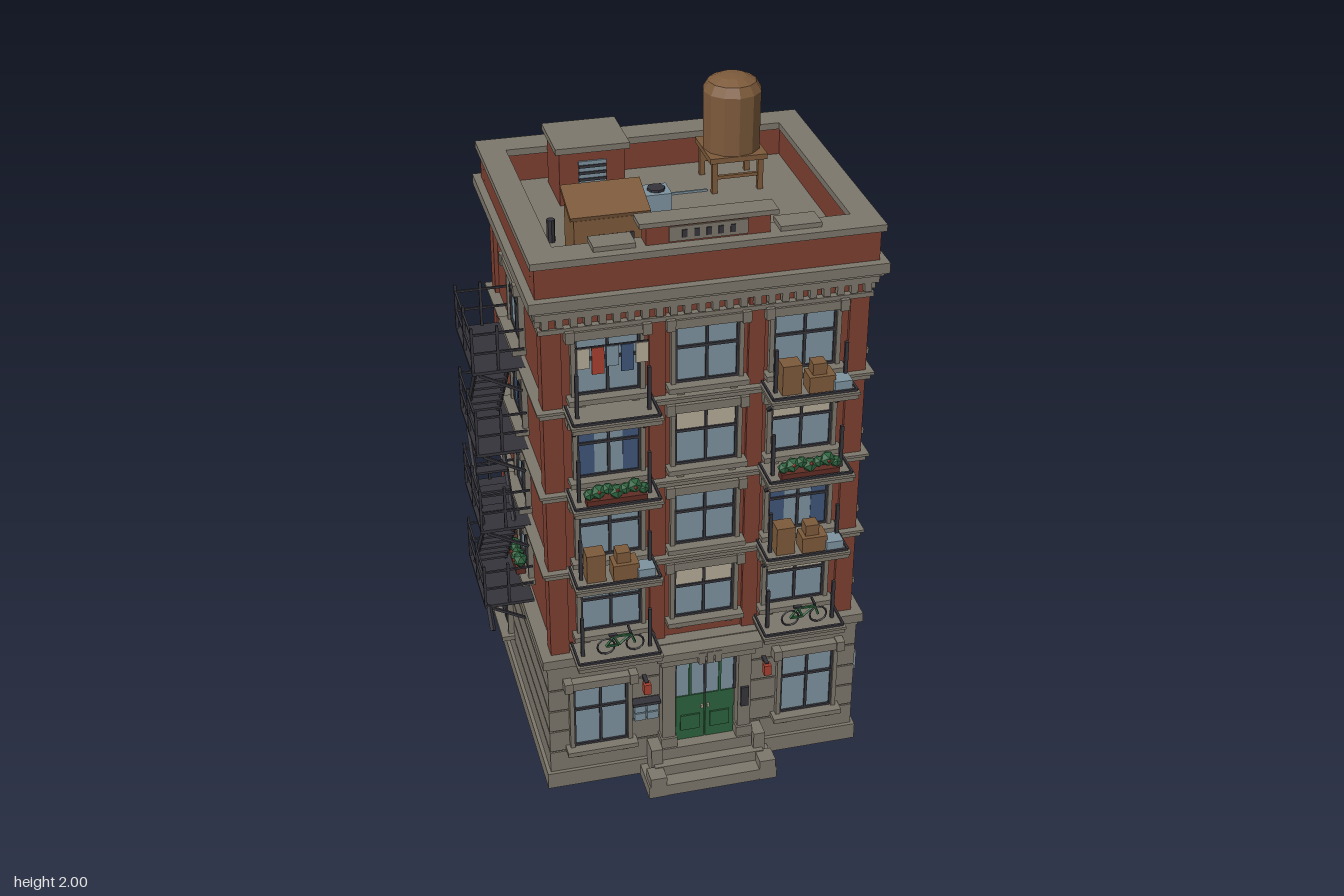
import * as THREE from 'three';

const mat = (name, color) => {
  const m = new THREE.MeshStandardMaterial({ color, flatShading: true });
  m.name = name;
  return m;
};
const M = {
  brick: mat('brick', 0x7e4032), dark: mat('darkBrick', 0x5f2d24), stone: mat('stone', 0x7d776b),
  metal: mat('darkMetal', 0x35343b), glass: mat('paleBlue', 0x7d939f), wood: mat('wood', 0x7d5a3b),
  green: mat('green', 0x2d623e), cream: mat('cream', 0xb5ab98), blue: mat('blue', 0x3f5679), red: mat('red', 0xa8402f),
};
const HX = 0.46, HZ = 0.383, BX = 0.478, BZ = 0.4;      // brick and base half sizes
const FLOORS = [0.645, 0.905, 1.175, 1.44];              // window centres
const SLABS = [0.505, 0.775, 1.038, 1.307];              // floor lines
const COLS = [-0.278, 0, 0.278];

function mesh(p, name, geo, m, x = 0, y = 0, z = 0) {
  const o = new THREE.Mesh(geo, m);
  o.name = name;
  o.position.set(x, y, z);
  p.add(o);
  return o;
}
const box = (p, name, m, w, h, d, x, y, z) => mesh(p, name, new THREE.BoxGeometry(w, h, d), m, x, y, z);
const cyl = (p, name, m, r, h, x, y, z, n = 8) => mesh(p, name, new THREE.CylinderGeometry(r, r, h, n), m, x, y, z);
// full-width layer between two heights
const layer = (p, name, m, hx, hz, y0, y1) => box(p, name, m, hx * 2, y1 - y0, hz * 2, 0, (y0 + y1) / 2, 0);
function bar(p, name, m, a, b, t = 0.008) {
  const A = new THREE.Vector3(...a), B = new THREE.Vector3(...b);
  const o = box(p, name, m, t, t, A.distanceTo(B), 0, 0, 0);
  o.position.copy(A).add(B).multiplyScalar(0.5);
  o.quaternion.setFromUnitVectors(new THREE.Vector3(0, 0, 1), B.sub(A).normalize());
}
function sub(p, name, x = 0, y = 0, z = 0, ry = 0) {
  const g = new THREE.Group();
  g.name = name;
  g.position.set(x, y, z);
  g.rotation.y = ry;
  p.add(g);
  return g;
}

// style: '' plain, 'b' blind, 'd' drapes
function windowUnit(p, x, y, z, w, h, style = '') {
  const g = sub(p, 'window', x, y, z);
  box(g, 'glass', M.glass, w, h, 0.006, 0, 0, 0.001);
  if (style === 'b') box(g, 'blind', M.cream, w, h * 0.36, 0.004, 0, h * 0.32, 0.004);
  if (style === 'd') for (const s of [-1, 1]) box(g, 'drape', M.blue, w * 0.27, h, 0.004, s * w * 0.36, 0, 0.004);
  for (const s of [-1, 1]) {
    box(g, 'jamb', M.stone, 0.013, h, 0.022, s * (w / 2 + 0.006), 0, 0.006);
    box(g, 'frameSide', M.metal, 0.007, h, 0.012, s * (w / 2 - 0.003), 0, 0.004);
    box(g, 'frameEdge', M.metal, w, 0.007, 0.012, 0, s * (h / 2 - 0.003), 0.004);
    box(g, 'sillBracket', M.stone, 0.02, 0.02, 0.02, s * w * 0.42, -h / 2 - 0.026, 0.01);
    box(g, 'lintelEnd', M.stone, 0.025, 0.034, 0.036, s * (w / 2 + 0.016), h / 2 + 0.014, 0.014);
  }
  box(g, 'mullion', M.metal, 0.008, h, 0.012, 0, 0, 0.004);
  box(g, 'transom', M.metal, w, 0.008, 0.014, 0, h * 0.12, 0.004);
  box(g, 'lintel', M.stone, w + 0.03, 0.026, 0.03, 0, h / 2 + 0.014, 0.012);
  box(g, 'sill', M.stone, w + 0.05, 0.016, 0.045, 0, -h / 2 - 0.009, 0.018);
}
function plants(p, x, y, z, w, n) {
  const g = sub(p, 'planter', x, y, z);
  box(g, 'planterBox', M.dark, w, 0.022, 0.03, 0, 0.011, 0);
  for (let i = 0; i < n; i++) {
    const u = (i / (n - 1) - 0.5) * w * 0.9, r = 0.018 + 0.005 * (i % 2);
    mesh(g, 'leaves', new THREE.IcosahedronGeometry(r, 0), M.green, u, 0.036 + 0.006 * (i % 3), 0);
    if (i % 2) mesh(g, 'flower', new THREE.IcosahedronGeometry(0.006, 0), M.red, u, 0.05, 0.018);
  }
}
function airUnit(p, x, y, z, w = 0.092, h = 0.066, d = 0.062) {
  const g = sub(p, 'airConditioner', x, y, z);
  box(g, 'case', M.glass, w, h, d, 0, 0, d / 2);
  cyl(g, 'fan', M.metal, h * 0.38, 0.006, -w * 0.14, 0, d + 0.002, 10).rotation.x = Math.PI / 2;
  for (let i = 0; i < 3; i++) box(g, 'slot', M.metal, w * 0.2, 0.005, 0.004, w * 0.34, (i - 1) * 0.015, d);
  for (const s of [-1, 1]) bar(g, 'bracket', M.metal, [s * w * 0.35, -h / 2 - 0.03, 0], [s * w * 0.35, -h / 2, d]);
}
function bike(p, x, y, z) {
  const g = sub(p, 'bicycle', x, y, z);
  for (const s of [-1, 1]) mesh(g, 'wheel', new THREE.TorusGeometry(0.026, 0.003, 4, 12), M.metal, s * 0.043, 0.029, 0);
  const P = [[-0.043, 0.029], [-0.02, 0.06], [0.03, 0.06], [-0.005, 0.029], [0.043, 0.029], [0.027, 0.075]];
  for (const [a, b] of [[0, 1], [1, 2], [1, 3], [2, 3], [0, 3], [4, 5]]) bar(g, 'bikeFrame', M.green, [...P[a], 0], [...P[b], 0], 0.006);
  box(g, 'saddle', M.metal, 0.024, 0.006, 0.012, -0.022, 0.066, 0);
  box(g, 'handlebar', M.metal, 0.006, 0.006, 0.035, 0.027, 0.077, 0);
}
function balcony(p, x, i, side) {
  const y = SLABS[i], g = sub(p, 'balcony', x, y, HZ);
  box(g, 'slab', M.stone, 0.247, 0.018, 0.115, 0, 0, 0.057);
  box(g, 'slabLip', M.stone, 0.255, 0.008, 0.12, 0, 0.009, 0.058);
  bar(g, 'lowRail', M.metal, [-0.12, 0.018, 0.108], [0.12, 0.018, 0.108], 0.007);
  for (const s of [-1, 1]) {
    box(g, 'post', M.metal, 0.01, 0.14, 0.01, s * 0.1, 0.075, 0.06);
    bar(g, 'sideRail', M.metal, [s * 0.12, 0.018, 0], [s * 0.12, 0.018, 0.108], 0.006);
    bar(g, 'bracket', M.metal, [s * 0.1, -0.075, 0.004], [s * 0.1, -0.008, 0.085], 0.01);
  }
  if (i === 0) bike(g, 0.01, 0.012, 0.07);
  if (i === 2) plants(g, 0, 0.012, 0.085, 0.17, 7);
  if (i === 1 || (i === 3 && side > 0)) {
    box(g, 'crate', M.wood, 0.055, 0.09, 0.05, -0.06, 0.058, 0.06);
    box(g, 'crateLow', M.wood, 0.075, 0.05, 0.055, 0.025, 0.038, 0.065);
    box(g, 'crateSmall', M.wood, 0.04, 0.035, 0.04, 0.02, 0.08, 0.06);
    box(g, 'cooler', M.glass, 0.05, 0.035, 0.05, 0.082, 0.03, 0.08);
  }
  if (i === 3 && side < 0) {
    bar(g, 'washLine', M.metal, [-0.1, 0.225, 0.06], [0.1, 0.225, 0.06], 0.004);
    [M.cream, M.red, M.glass, M.blue, M.cream].forEach((m, k) =>
      box(g, 'laundry', m, 0.034, 0.06 + 0.02 * (k % 2), 0.005, -0.08 + k * 0.04, 0.192 - 0.01 * (k % 2), 0.06));
  }
}

function shell(b) {
  layer(b, 'plinth', M.stone, BX + 0.008, BZ + 0.008, 0.005, 0.06);
  layer(b, 'baseCore', M.stone, BX - 0.008, BZ - 0.008, 0.05, 0.45);
  for (let i = 0; i < 5; i++) layer(b, 'baseCourse', M.stone, BX - 0.003, BZ - 0.003, 0.06 + i * 0.077, 0.06 + i * 0.077 + 0.072);
  layer(b, 'baseCap', M.stone, BX, BZ, 0.44, 0.458);
  layer(b, 'baseCornice', M.stone, BX + 0.012, BZ + 0.012, 0.458, 0.488);
  layer(b, 'brickWall', M.brick, HX - 0.012, HZ - 0.012, 0.48, 1.62);
  for (const sx of [-1, 1]) for (const sz of [-1, 1]) box(b, 'cornerPier', M.brick, 0.055, 1.13, 0.055, sx * (HX - 0.0275), 1.05, sz * (HZ - 0.0275));
  for (const s of [-1, 1]) for (const x of [-0.14, 0.14]) box(b, 'pier', M.brick, 0.046, 1.13, 0.03, x, 1.05, s * (HZ - 0.015));
  for (const y of SLABS.slice(1)) {
    layer(b, 'floorBand', M.stone, HX + 0.012, HZ + 0.012, y - 0.012, y + 0.004);
    layer(b, 'floorBandCap', M.stone, HX + 0.02, HZ + 0.02, y + 0.004, y + 0.012);
  }
  layer(b, 'frieze', M.stone, HX + 0.008, HZ + 0.008, 1.553, 1.567);
  layer(b, 'corniceLow', M.stone, HX + 0.018, HZ + 0.018, 1.6, 1.625);
  layer(b, 'corniceMid', M.stone, HX + 0.026, HZ + 0.03, 1.625, 1.637);
  layer(b, 'corniceTop', M.stone, HX + 0.037, HZ + 0.043, 1.637, 1.668);
  for (const s of [-1, 1]) {
    for (let i = 0; i < 24; i++) box(b, 'dentil', M.stone, 0.02, 0.028, 0.02, -0.449 + i * 0.039, 1.587, s * (HZ + 0.005));
    for (let i = 0; i < 20; i++) box(b, 'dentil', M.stone, 0.02, 0.028, 0.02, s * (HX + 0.005), 1.587, -0.371 + i * 0.039);
  }
  // parapet walls and coping around the sunken roof
  for (const s of [-1, 1]) {
    box(b, 'parapet', M.brick, 0.95, 0.1, 0.055, 0, 1.715, s * 0.373);
    box(b, 'parapet', M.brick, 0.055, 0.1, 0.69, s * 0.4475, 1.715, 0);
    box(b, 'coping', M.stone, 0.974, 0.02, 0.088, 0, 1.767, s * 0.368);
    box(b, 'coping', M.stone, 0.076, 0.02, 0.66, s * 0.449, 1.767, 0);
    box(b, 'copingStep', M.stone, 0.115, 0.014, 0.07, s * 0.255, 1.784, 0.347);
  }
  box(b, 'pedimentWall', M.brick, 0.34, 0.06, 0.05, 0, 1.8, 0.352);
  box(b, 'pedimentCap', M.stone, 0.38, 0.014, 0.068, 0, 1.837, 0.352);
  box(b, 'pedimentPanel', M.stone, 0.215, 0.042, 0.012, 0, 1.803, 0.375);
  for (let i = 0; i < 5; i++) box(b, 'panelSlot', M.metal, 0.014, 0.022, 0.006, (i - 2) * 0.033, 1.803, 0.381);
}

function frontFace(b) {
  const f = sub(b, 'front'), z = HZ - 0.012;
  const st = ['', 'b', 'b', '', '', 'd', 'd', 'b', 'b', '', '', ''];
  FLOORS.forEach((y, i) => COLS.forEach((x, k) => windowUnit(f, x, y, z, 0.18, 0.175, st[i * 3 + k])));
  for (let i = 0; i < 4; i++) for (const s of [-1, 1]) balcony(f, s * 0.278, i, s);
  for (const s of [-1, 1]) {
    windowUnit(f, s * 0.32, 0.265, BZ - 0.002, 0.165, 0.22);
    box(f, 'doorPillar', M.stone, 0.04, 0.34, 0.045, s * 0.117, 0.285, BZ + 0.01);
    box(f, 'pillarFoot', M.stone, 0.05, 0.04, 0.055, s * 0.117, 0.13, BZ + 0.012);
    box(f, 'lampArm', M.metal, 0.012, 0.012, 0.04, s * 0.185, 0.37, BZ + 0.015);
    box(f, 'lamp', M.red, 0.022, 0.035, 0.022, s * 0.185, 0.355, BZ + 0.035);
    box(f, 'stepCheek', M.stone, 0.035, 0.13, 0.06, s * 0.16, 0.065, BZ + 0.03);
    box(f, 'doorLeaf', M.green, 0.088, 0.165, 0.012, s * 0.046, 0.197, BZ + 0.004);
    box(f, 'doorPanel', M.green, 0.06, 0.055, 0.008, s * 0.046, 0.18, BZ + 0.011);
    box(f, 'doorKnob', M.cream, 0.007, 0.012, 0.01, s * 0.01, 0.235, BZ + 0.013);
  }
  box(f, 'doorGlass', M.glass, 0.19, 0.16, 0.008, 0, 0.355, BZ + 0.002);
  for (let i = -2; i <= 2; i++) box(f, 'doorBar', i % 2 ? M.green : M.metal, 0.008, 0.15, 0.012, i * 0.046, 0.355, BZ + 0.004);
  box(f, 'doorHead', M.stone, 0.29, 0.03, 0.06, 0, 0.443, BZ + 0.015);
  box(f, 'doorCornice', M.stone, 0.32, 0.026, 0.085, 0, 0.472, BZ + 0.02);
  for (let i = -1; i <= 1; i++) box(f, 'keystone', M.stone, 0.02, 0.04, 0.02, i * 0.025, 0.455, BZ + 0.055);
  // entrance steps
  [[0.4, 0.04, 0.12], [0.34, 0.075, 0.075], [0.28, 0.115, 0.045]].forEach(([w, h, d]) => box(f, 'step', M.stone, w, h, d, 0, h / 2, BZ + d / 2));
  for (const s of [-1, 1]) box(f, 'stepEnd', M.stone, 0.05, 0.072, 0.055, s * 0.17, 0.036, BZ + 0.094);
  for (let i = 0; i < 2; i++) for (let k = 0; k < 2; k++) box(f, 'mailbox', M.glass, 0.034, 0.026, 0.02, -0.202 + k * 0.038, 0.235 + i * 0.03, BZ + 0.01);
  box(f, 'mailboxHood', M.metal, 0.085, 0.01, 0.03, -0.183, 0.285, BZ + 0.012);
  box(f, 'intercom', M.metal, 0.024, 0.07, 0.01, 0.117, 0.265, BZ + 0.035);
}

function rightFace(b) {
  const f = sub(b, 'rightSide', 0, 0, 0, Math.PI / 2), z = HX - 0.012;
  const st = ['b', 'd', '', 'b', '', '', 'd', 'd'];
  FLOORS.forEach((y, i) => [-0.217, 0.213].forEach((x, k) => windowUnit(f, x, y, z, 0.165, 0.175, st[i * 2 + k])));
  windowUnit(f, -0.002, 0.27, BX - 0.002, 0.16, 0.22);
  for (const [x, y] of [[0.085, 1.13], [-0.035, 0.865], [0.09, 0.6]]) airUnit(f, x, y, z);
  for (const [x, y] of [[0.213, 1.375], [-0.217, 0.585]]) box(f, 'windowCooler', M.glass, 0.06, 0.04, 0.045, x, y, z + 0.022);
  plants(f, -0.217, 1.358, z + 0.035, 0.13, 6);
  for (const y of [0.7, 1.225]) {
    box(f, 'vent', M.stone, 0.062, 0.048, 0.012, -0.005, y, z + 0.004);
    for (let i = -1; i <= 1; i++) box(f, 'ventSlot', M.metal, 0.05, 0.006, 0.004, -0.005, y + i * 0.013, z + 0.01);
  }
  for (const [x, y, w] of [[0.06, 1.43, 0.1], [0.02, 1.16, 0.07], [0.05, 0.95, 0.08], [0.07, 0.93, 0.08], [0.05, 0.91, 0.06], [-0.07, 0.62, 0.06], [0, 0.57, 0.08], [-0.08, 0.52, 0.07]])
    box(f, 'brickPatch', M.dark, w, 0.012, 0.006, x, y, z + 0.001);
  box(f, 'meter', M.glass, 0.048, 0.07, 0.04, -0.29, 0.235, BX + 0.015);
  box(f, 'meterDial', M.metal, 0.022, 0.02, 0.006, -0.29, 0.247, BX + 0.034);
}

function backFace(b) {
  const f = sub(b, 'back', 0, 0, 0, Math.PI), z = HZ - 0.012;
  const st = ['b', '', 'b', '', 'b', '', '', 'd', 'b', '', '', 'b'];
  FLOORS.forEach((y, i) => COLS.forEach((x, k) => windowUnit(f, x, y, z, 0.165, 0.175, st[i * 3 + k])));
  windowUnit(f, -0.28, 0.28, BZ - 0.002, 0.15, 0.2, 'b');
  // service door with awning
  box(f, 'serviceFrame', M.metal, 0.165, 0.36, 0.012, 0.226, 0.2, BZ);
  box(f, 'serviceDoor', M.glass, 0.14, 0.335, 0.012, 0.226, 0.195, BZ + 0.004);
  for (let i = 0; i < 6; i++) box(f, 'doorRib', M.metal, 0.13, 0.006, 0.006, 0.226, 0.07 + i * 0.052, BZ + 0.01);
  box(f, 'awning', M.metal, 0.252, 0.016, 0.085, 0.226, 0.415, BZ + 0.04);
  for (const s of [-1, 1]) bar(f, 'awningStay', M.metal, [0.226 + s * 0.1, 0.36, BZ], [0.226 + s * 0.1, 0.41, BZ + 0.06]);
  // dish aerials
  for (const y of [0.935, 1.205]) {
    const g = sub(f, 'dishAerial', -0.285, y, z);
    const d = mesh(g, 'dish', new THREE.ConeGeometry(0.036, 0.014, 10), M.glass, 0, 0, 0.06);
    d.rotation.set(-Math.PI / 2 - 0.35, 0, 0.3);
    bar(g, 'dishArm', M.metal, [0, -0.03, 0], [0, 0, 0.06]);
    bar(g, 'dishFeed', M.metal, [0, -0.02, 0.065], [0, -0.015, 0.11], 0.005);
    box(g, 'dishTip', M.metal, 0.014, 0.014, 0.014, 0, -0.014, 0.112);
  }
}

function leftFace(b) {
  const f = sub(b, 'leftSide', 0, 0, 0, -Math.PI / 2), z = HX - 0.012;
  FLOORS.forEach((y, i) => windowUnit(f, -0.01, y, z, 0.165, 0.175, ['', 'b', 'd', ''][i]));
  windowUnit(f, -0.26, 0.27, BX - 0.002, 0.14, 0.22);
  for (const y of [0.7, 1.225]) box(f, 'vent', M.metal, 0.05, 0.045, 0.012, -0.25, y, z + 0.004);
  plants(f, -0.01, 0.557, z + 0.035, 0.13, 6);
  // fire escape
  const g = sub(f, 'fireEscape', 0, 0, HX);
  SLABS.forEach((y, i) => {
    box(g, 'platform', M.metal, 0.28, 0.01, 0.15, -0.003, y + 0.008, 0.075);
    for (const u of [-0.138, -0.003, 0.132]) box(g, 'railPost', M.metal, 0.008, 0.145, 0.008, u, y + 0.08, 0.147);
    for (const u of [-0.138, 0.132]) {
      box(g, 'railPost', M.metal, 0.008, 0.145, 0.008, u, y + 0.08, 0.075);
      bar(g, 'bracket', M.metal, [u, y - 0.065, 0.01], [u, y, 0.13]);
      for (const h of [0.07, 0.13]) bar(g, 'endRail', M.metal, [u, y + h, 0], [u, y + h, 0.147], 0.006);
    }
    for (const h of [0.07, 0.13]) bar(g, 'rail', M.metal, [-0.138, y + h, 0.147], [0.132, y + h, 0.147], 0.006);
    if (i === 3) return;
    const s = i % 2 ? -1 : 1;
    for (const d of [0.045, 0.138]) bar(g, 'stringer', M.metal, [-s * 0.11, y, d], [s * 0.11, SLABS[i + 1], d], 0.01);
    for (let k = 1; k < 6; k++) box(g, 'tread', M.metal, 0.035, 0.007, 0.093, s * (-0.11 + k * 0.0367), y + k * 0.045, 0.09);
  });
  bar(g, 'ladderArm', M.metal, [0.13, 0.515, 0.137], [0.187, 0.46, 0.137], 0.012);
}

function roof(b) {
  const r = sub(b, 'roof');
  const tk = sub(r, 'waterTank', 0.225, 0, -0.193);
  for (const sx of [-1, 1]) for (const sz of [-1, 1]) box(tk, 'tankLeg', M.wood, 0.016, 0.1, 0.016, sx * 0.068, 1.715, sz * 0.068);
  for (const s of [-1, 1]) box(tk, 'tankBrace', M.wood, 0.15, 0.01, 0.01, 0, 1.715, s * 0.068);
  box(tk, 'tankDeck', M.wood, 0.17, 0.016, 0.17, 0, 1.772, 0);
  const prof = [[0, 1.78], [0.084, 1.78], [0.086, 1.955], [0.07, 1.982], [0.04, 1.996], [0, 2]].map(p => new THREE.Vector2(...p));
  mesh(tk, 'tankBarrel', new THREE.LatheGeometry(prof, 12), M.wood);
  box(r, 'bulkhead', M.brick, 0.19, 0.165, 0.17, -0.197, 1.747, -0.23);
  box(r, 'bulkheadCap', M.stone, 0.215, 0.018, 0.195, -0.197, 1.838, -0.23);
  box(r, 'bulkheadDoor', M.glass, 0.08, 0.13, 0.008, -0.197, 1.735, -0.143);
  for (let i = 0; i < 6; i++) box(r, 'doorLouvre', M.metal, 0.08, 0.008, 0.008, -0.197, 1.685 + i * 0.02, -0.139);
  // sloped wooden coop
  const s = new THREE.Shape([[-0.062, 0], [0.062, 0], [0.062, 0.18], [-0.062, 0.14]].map(p => new THREE.Vector2(...p)));
  const coop = mesh(r, 'coop', new THREE.ExtrudeGeometry(s, { depth: 0.2, bevelEnabled: false }), M.wood, -0.335, 1.665, 0.187);
  coop.rotation.y = Math.PI / 2;
  box(r, 'coopRoof', M.wood, 0.22, 0.012, 0.135, -0.235, 1.832, 0.187).rotation.x = 0.31;
  box(r, 'coopLanding', M.wood, 0.1, 0.01, 0.035, -0.22, 1.72, 0.265);
  for (let i = 0; i < 3; i++) box(r, 'coopHole', M.metal, 0.024, 0.03, 0.006, -0.255 + i * 0.036, 1.745, 0.25);
  // roof machinery and pipes
  for (const [x, z, w] of [[-0.032, -0.061, 0.075], [0.03, 0.254, 0.092]]) {
    box(r, 'roofUnit', M.glass, w, 0.06, w, x, 1.698, z);
    cyl(r, 'roofFan', M.metal, 0.026, 0.008, x, 1.731, z, w > 0.08 ? 3 : 8);
  }
  box(r, 'pipe', M.glass, 0.24, 0.006, 0.006, 0.02, 1.672, -0.14);
  box(r, 'pipe', M.glass, 0.3, 0.006, 0.006, 0.015, 1.672, 0.132);
  cyl(r, 'roofVent', M.metal, 0.012, 0.07, -0.363, 1.7, 0.072);
}

export function createModel() {
  const root = new THREE.Group();
  root.name = 'apartmentBuilding';
  const b = sub(root, 'building', 0.035, 0, -0.017);
  [shell, frontFace, rightFace, backFace, leftFace, roof].forEach(part => part(b));
  return root;
}
